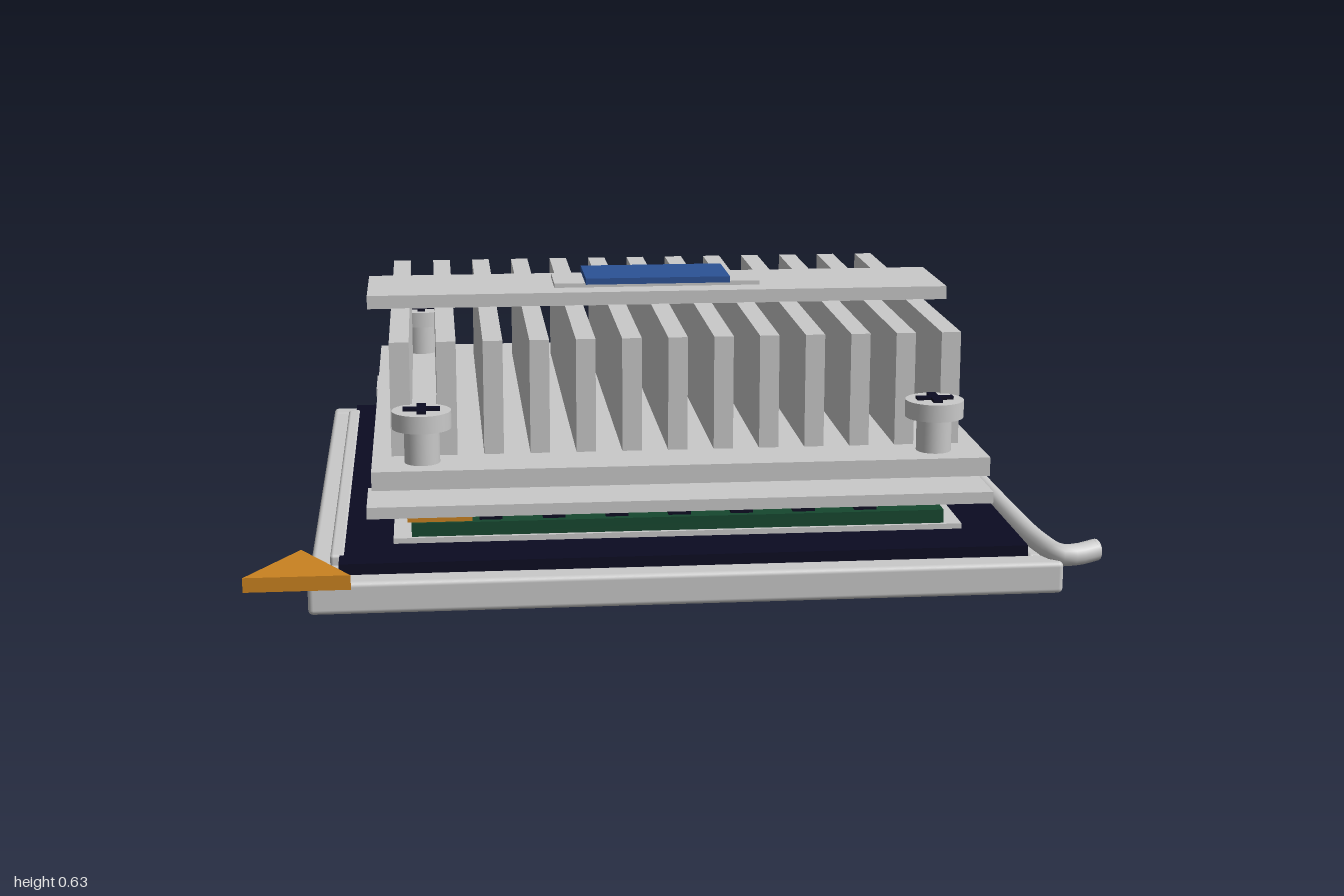
import * as THREE from 'three';
import { RoundedBoxGeometry } from 'three/addons/geometries/RoundedBoxGeometry.js';

const mat = (name, color) => {
  const m = new THREE.MeshStandardMaterial({ color });
  m.name = name;
  return m;
};

export function createModel() {
  const root = new THREE.Group();
  root.name = 'cooledProcessorSocket';
  const metal = mat('lightMetal', 0xc9c9c9);
  const dark = mat('darkPlastic', 0x0b0b22);
  const green = mat('boardGreen', 0x16482f);
  const gold = mat('gold', 0xca8220);
  const blue = mat('labelBlue', 0x2b5296);
  const CX = 0.017, CZ = -0.047; // centre of the square stack

  const add = (name, geo, material, x = 0, y = 0, z = 0, parent = root) => {
    const m = new THREE.Mesh(geo, material);
    m.name = name;
    m.position.set(x, y, z);
    parent.add(m);
    return m;
  };
  // box from its limits; r rounds the edges
  const box = (name, material, x0, x1, y0, y1, z0, z1, r = 0, parent = root) => {
    const s = [x1 - x0, y1 - y0, z1 - z0];
    const geo = r ? new RoundedBoxGeometry(...s, 3, r) : new THREE.BoxGeometry(...s);
    return add(name, geo, material, (x0 + x1) / 2, (y0 + y1) / 2, (z0 + z1) / 2, parent);
  };
  // slab centred on the stack, by half sizes
  const slab = (name, material, hx, hz, y0, y1) =>
    box(name, material, CX - hx, CX + hx, y0, y1, CZ - hz, CZ + hz);
  // flat outline in x and z, raised from y0 to y1
  const plate = (name, material, pts, y0, y1) => {
    const shape = new THREE.Shape(pts.map(([x, z]) => new THREE.Vector2(x, -z)));
    const geo = new THREE.ExtrudeGeometry(shape, { depth: y1 - y0, bevelEnabled: false });
    geo.rotateX(-Math.PI / 2);
    return add(name, geo, material, 0, y0, 0);
  };

  // socket: dark body inside four metal rails
  slab('socketBody', dark, 0.81, 0.81, 0.005, 0.1);
  box('frontRail', metal, -0.862, 0.897, 0, 0.077, 0.763, 0.833, 0.012);
  box('backRail', metal, -0.862, 0.897, 0, 0.077, -0.925, -0.855, 0.012);
  box('leftRail', metal, 0.825, 0.897, 0, 0.077, -0.86, 0.768, 0.012);
  box('rightRail', metal, -0.862, -0.785, 0, 0.077, -0.86, 0.768, 0.012);
  box('hingeStrip', metal, -0.815, -0.78, 0.07, 0.102, -0.79, 0.695, 0.008);

  // locking lever with its hinge block
  box('leverHinge', metal, 0.81, 0.897, 0.06, 0.122, -0.9, -0.805);
  const path = new THREE.CatmullRomCurve3([
    [0.85, 0.092, -0.82], [0.851, 0.092, -0.2], [0.855, 0.092, 0.4], [0.868, 0.09, 0.7],
    [0.895, 0.087, 0.802], [0.935, 0.086, 0.8], [0.985, 0.091, 0.783],
  ].map((p) => new THREE.Vector3(...p)));
  add('lever', new THREE.TubeGeometry(path, 80, 0.026, 14), metal);
  const tip = add('leverTip', new THREE.SphereGeometry(0.026, 14, 10), metal, 0.983, 0.091, 0.784);
  tip.scale.set(0.6, 1, 1);

  // pin-one corner markers
  plate('cornerMarker', gold, [[-0.88, 0.71], [-1, 0.92], [-0.76, 0.92]], 0.088, 0.122);
  plate('boardMarker', gold, [[-0.557, 0.455], [-0.635, 0.59], [-0.48, 0.59]], 0.146, 0.166);

  // processor board and lid
  slab('boardSeat', metal, 0.685, 0.655, 0.098, 0.113);
  slab('circuitBoard', green, 0.642, 0.645, 0.113, 0.146);
  const chips = new THREE.Group();
  chips.name = 'edgeChips';
  root.add(chips);
  for (let i = -3; i <= 3; i++) {
    for (const s of [-1, 1]) {
      const x = CX + i * 0.151, z = CZ + i * 0.151, ex = CX + s * 0.59, ez = CZ + s * 0.612;
      box('chip', dark, x - 0.027, x + 0.027, 0.145, 0.157, ez - 0.016, ez + 0.016, 0, chips);
      box('chip', dark, ex - 0.016, ex + 0.016, 0.145, 0.157, z - 0.027, z + 0.027, 0, chips);
    }
  }
  slab('processorLid', metal, 0.558, 0.56, 0.145, 0.182);

  // clamp plate with shallow notches in both sides
  const X = 0.745, N = 0.69, Z = 0.72, T = 0.54;
  plate('clampPlate', metal, [
    [-X, Z], [X, Z], [X, T], [N, T], [N, -T], [X, -T],
    [X, -Z], [-X, -Z], [-X, -T], [-N, -T], [-N, T], [-X, T],
  ].map(([x, z]) => [x + CX, z + CZ]), 0.18, 0.208);
  slab('thermalPad', metal, 0.492, 0.494, 0.207, 0.231);
  slab('contactPlate', metal, 0.51, 0.512, 0.23, 0.252);

  // heat sink
  slab('heatSinkBase', metal, 0.732, 0.73, 0.251, 0.296);
  const fins = new THREE.Group();
  fins.name = 'fins';
  root.add(fins);
  for (let i = -6; i <= 6; i++) {
    const x = CX + i * 0.1105;
    box('fin', metal, x - 0.0235, x + 0.0235, 0.295, 0.572, CZ - 0.583, CZ + 0.583, 0, fins);
  }
  slab('topBar', metal, 0.747, 0.148, 0.571, 0.605);
  slab('labelMount', metal, 0.267, 0.077, 0.604, 0.616);
  slab('label', blue, 0.187, 0.1, 0.616, 0.632);

  // corner screws
  for (const sx of [-1, 1]) {
    for (const sz of [-1, 1]) {
      const screw = new THREE.Group();
      screw.name = 'screw';
      screw.position.set(CX + sx * 0.613, 0, CZ + sz * 0.641);
      root.add(screw);
      add('screwShaft', new THREE.CylinderGeometry(0.042, 0.042, 0.09, 24), metal, 0, 0.34, 0, screw);
      add('screwHead', new THREE.CylinderGeometry(0.07, 0.07, 0.042, 32), metal, 0, 0.4, 0, screw);
      add('crossSlot', new THREE.BoxGeometry(0.088, 0.008, 0.022), dark, 0, 0.424, 0, screw);
      add('crossSlot', new THREE.BoxGeometry(0.022, 0.0078, 0.088), dark, 0, 0.424, 0, screw);
    }
  }
  return root;
}
